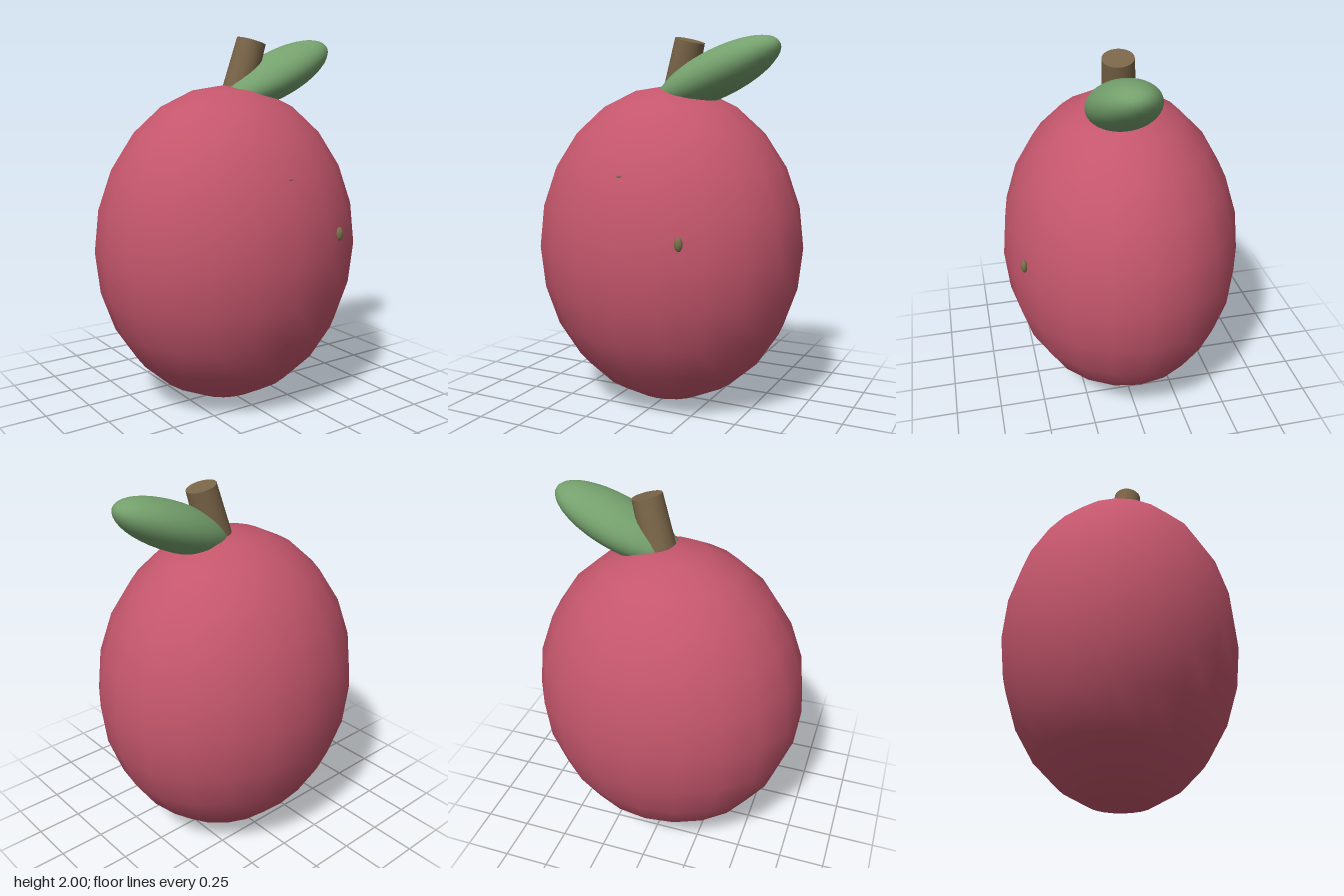
import * as THREE from 'three';

const mat = (name, color) => {
  const m = new THREE.MeshStandardMaterial({ color });
  m.name = name;
  return m;
};

export function createModel() {
  const skin = mat('rosy skin', 0xc4566c);
  const bark = mat('brown stem', 0x7a6548);
  const green = mat('leaf green', 0x75a16d);
  const speck = mat('olive speck', 0x77704a);
  const group = new THREE.Group();

  // Smooth ellipsoid with given centre, radii and segment counts
  const ellipsoid = (name, material, pos, radii, w, h) => {
    const mesh = new THREE.Mesh(new THREE.SphereGeometry(1, w, h), material);
    mesh.name = name;
    mesh.position.set(...pos);
    mesh.scale.set(...radii);
    group.add(mesh);
    return mesh;
  };

  // Fruit body
  ellipsoid('fruitBody', skin, [0, 0.877, 0], [0.745, 0.872, 0.645], 20, 12);

  // Leaf: plump ellipsoid rising toward the left side
  const leaf = ellipsoid('leaf', green, [0.3, 1.805, 0.049], [0.366, 0.124, 0.175], 32, 20);
  leaf.rotation.z = 0.42;

  // Stem: slightly tapered, leaning cylinder
  const base = new THREE.Vector3(0.03, 1.58, 0.003);
  const tip = new THREE.Vector3(0.137, 1.98, 0.035);
  const axis = tip.clone().sub(base);
  const stem = new THREE.Mesh(new THREE.CylinderGeometry(0.08, 0.092, axis.length(), 24), bark);
  stem.name = 'stem';
  stem.position.copy(base).add(tip).multiplyScalar(0.5);
  stem.quaternion.setFromUnitVectors(new THREE.Vector3(0, 1, 0), axis.normalize());
  group.add(stem);

  // Small specks just breaking the skin
  ellipsoid('speckLarge', speck, [0.325, 0.99, 0.567], [0.021, 0.036, 0.018], 12, 8);
  ellipsoid('speckSmall', speck, [0, 1.3, 0.562], [0.013, 0.005, 0.01], 10, 6);

  return group;
}
